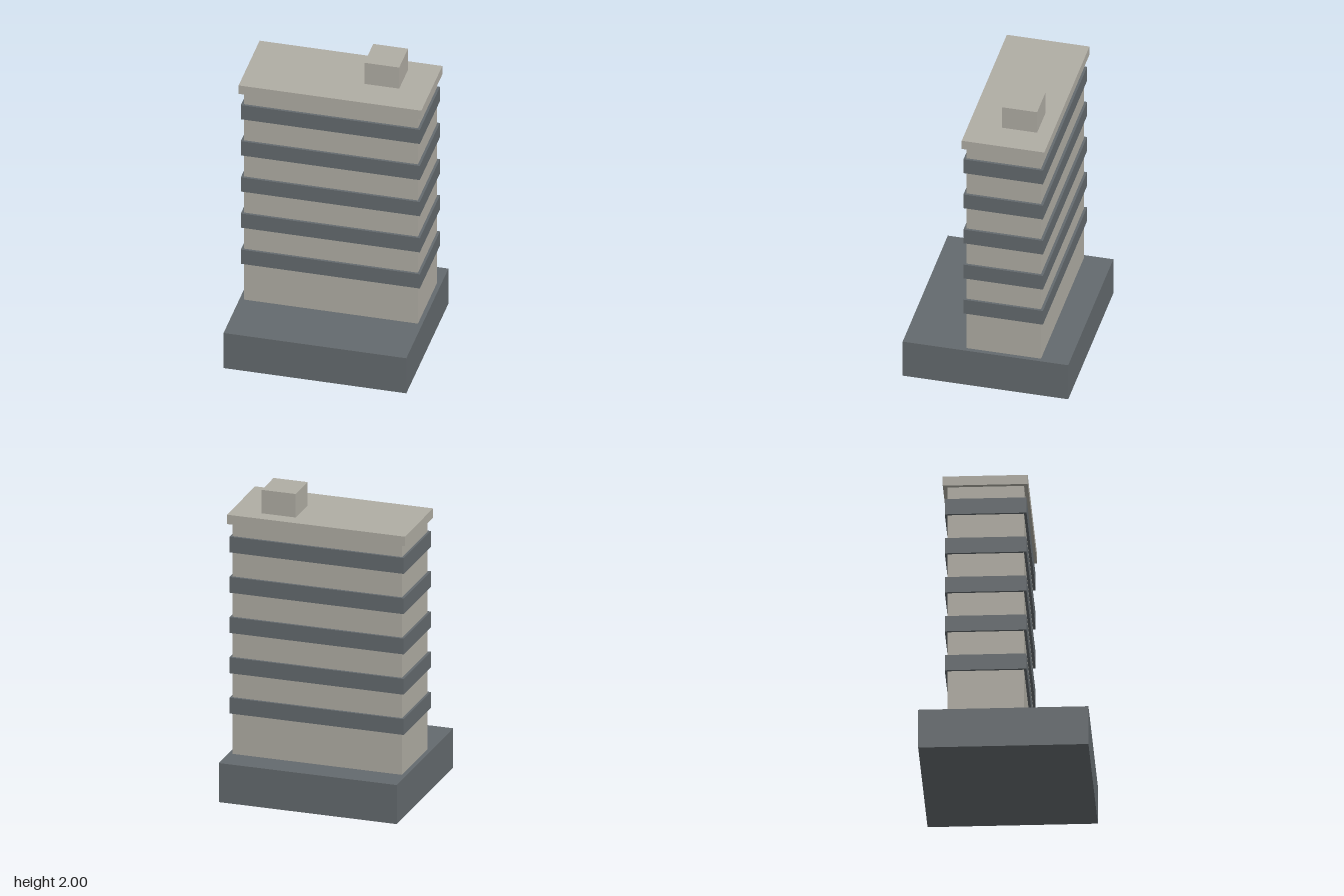
import * as THREE from 'three';

const concrete = new THREE.MeshStandardMaterial({ color: 0xb0ada4 });
concrete.name = 'concrete';
const slate = new THREE.MeshStandardMaterial({ color: 0x646a6e });
slate.name = 'slate';

// Box of a given footprint, standing between two heights
function block(name, material, width, depth, bottom, top, x, z) {
  const mesh = new THREE.Mesh(new THREE.BoxGeometry(width, top - bottom, depth), material);
  mesh.name = name;
  mesh.position.set(x, (bottom + top) / 2, z);
  return mesh;
}

export function createModel() {
  const building = new THREE.Group();
  building.name = 'officeBuilding';
  const towerZ = -0.11; // tower is set back on the podium

  building.add(
    block('podium', slate, 1.166, 1.054, 0, 0.258, 0, 0),
    block('tower', concrete, 1.11, 0.474, 0.258, 1.783, 0, towerZ),
    block('roofSlab', concrete, 1.166, 0.526, 1.783, 1.845, 0, towerZ - 0.002),
    block('rooftopHousing', concrete, 0.222, 0.222, 1.845, 2, 0.277, -0.17),
  );

  // Window bands wrapping each floor
  const bands = new THREE.Group();
  bands.name = 'windowBands';
  for (let floor = 0; floor < 5; floor++) {
    const bottom = 0.529 + floor * 0.266;
    bands.add(block(`windowBand${floor + 1}`, slate, 1.142, 0.506, bottom, bottom + 0.104, 0, towerZ));
  }
  building.add(bands);
  return building;
}
